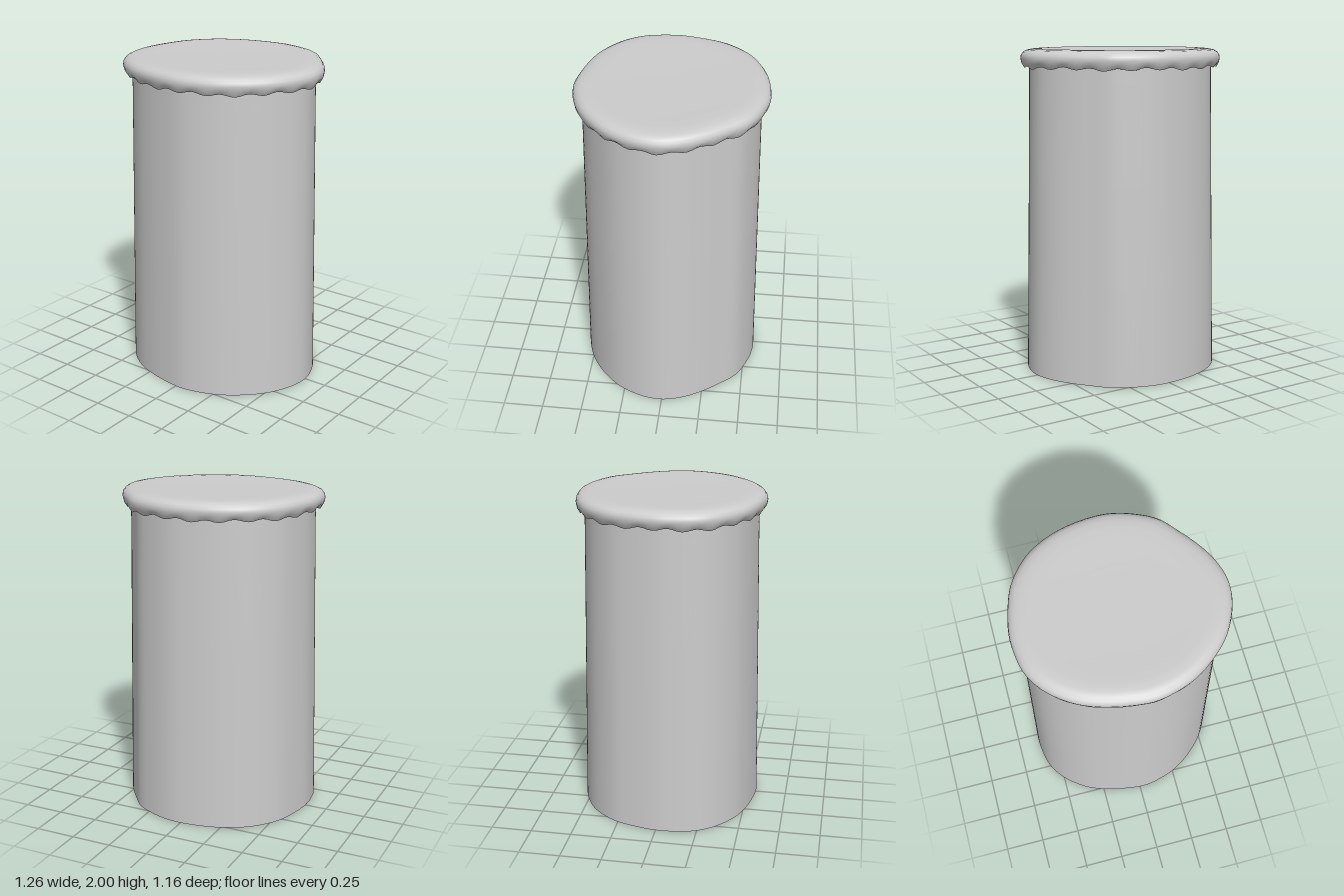
import * as THREE from 'three';

const SEGMENTS = 132;
const SCALLOPS = 22;

// Slightly irregular plan outline of the lid, as x, z pairs from the back round by +x
const OUTLINE = [
  [0, -0.58], [0.115, -0.57], [0.24, -0.53], [0.35, -0.47], [0.435, -0.375], [0.53, -0.25],
  [0.59, -0.14], [0.625, -0.01], [0.615, 0.11], [0.57, 0.23], [0.51, 0.325], [0.415, 0.42],
  [0.3, 0.5], [0.175, 0.55], [0.04, 0.575], [-0.1, 0.562], [-0.245, 0.53], [-0.38, 0.475],
  [-0.52, 0.365], [-0.6, 0.24], [-0.63, 0.085], [-0.63, -0.01], [-0.6, -0.16],
  [-0.555, -0.285], [-0.465, -0.405], [-0.37, -0.48], [-0.205, -0.55],
];

// Skin a stack of scaled outlines; each ring is [scale, y, waviness]
function loft(rings) {
  const curve = new THREE.CatmullRomCurve3(OUTLINE.map(([x, z]) => new THREE.Vector3(x, 0, z)), true);
  const outline = curve.getSpacedPoints(SEGMENTS).slice(0, SEGMENTS);
  const positions = [];
  const indices = [];
  rings.forEach(([scale, y, wave = 0], row) => {
    outline.forEach((p, i) => {
      const t = (i / SEGMENTS) * Math.PI * 2;
      const ripple = wave * (Math.cos(t * SCALLOPS) + 0.4 * Math.sin(t * 7));
      positions.push(p.x * scale, y + ripple, p.z * scale);
      if (row === rings.length - 1) return;
      const a = row * SEGMENTS + i;
      const b = row * SEGMENTS + ((i + 1) % SEGMENTS);
      indices.push(a, a + SEGMENTS, b, b, a + SEGMENTS, b + SEGMENTS);
    });
  });
  const geometry = new THREE.BufferGeometry();
  geometry.setAttribute('position', new THREE.Float32BufferAttribute(positions, 3));
  geometry.setIndex(indices);
  geometry.computeVertexNormals();
  return geometry;
}

export function createModel() {
  const model = new THREE.Group();
  model.name = 'coveredJar';
  const grey = new THREE.MeshStandardMaterial({ color: 0xcccccc, side: THREE.DoubleSide });
  grey.name = 'plain grey';

  // Tapered hollow wall, open underneath
  const wall = new THREE.Mesh(loft([[0.968, 0], [0.95, 0.6], [0.932, 1.2], [0.914, 1.8], [0.912, 1.96]]), grey);
  wall.name = 'wall';

  // Soft lid with a rounded rim and a scalloped hanging edge
  const lid = new THREE.Mesh(loft([
    [0.963, 1.892, 0.008], [0.99, 1.915, 0.004], [1, 1.942], [0.993, 1.963], [0.972, 1.98],
    [0.935, 1.992], [0.88, 1.998], [0.8, 2], [0.7, 1.998], [0.4, 1.995], [0.001, 1.994],
  ]), grey);
  lid.name = 'lid';

  model.add(wall, lid);
  return model;
}
